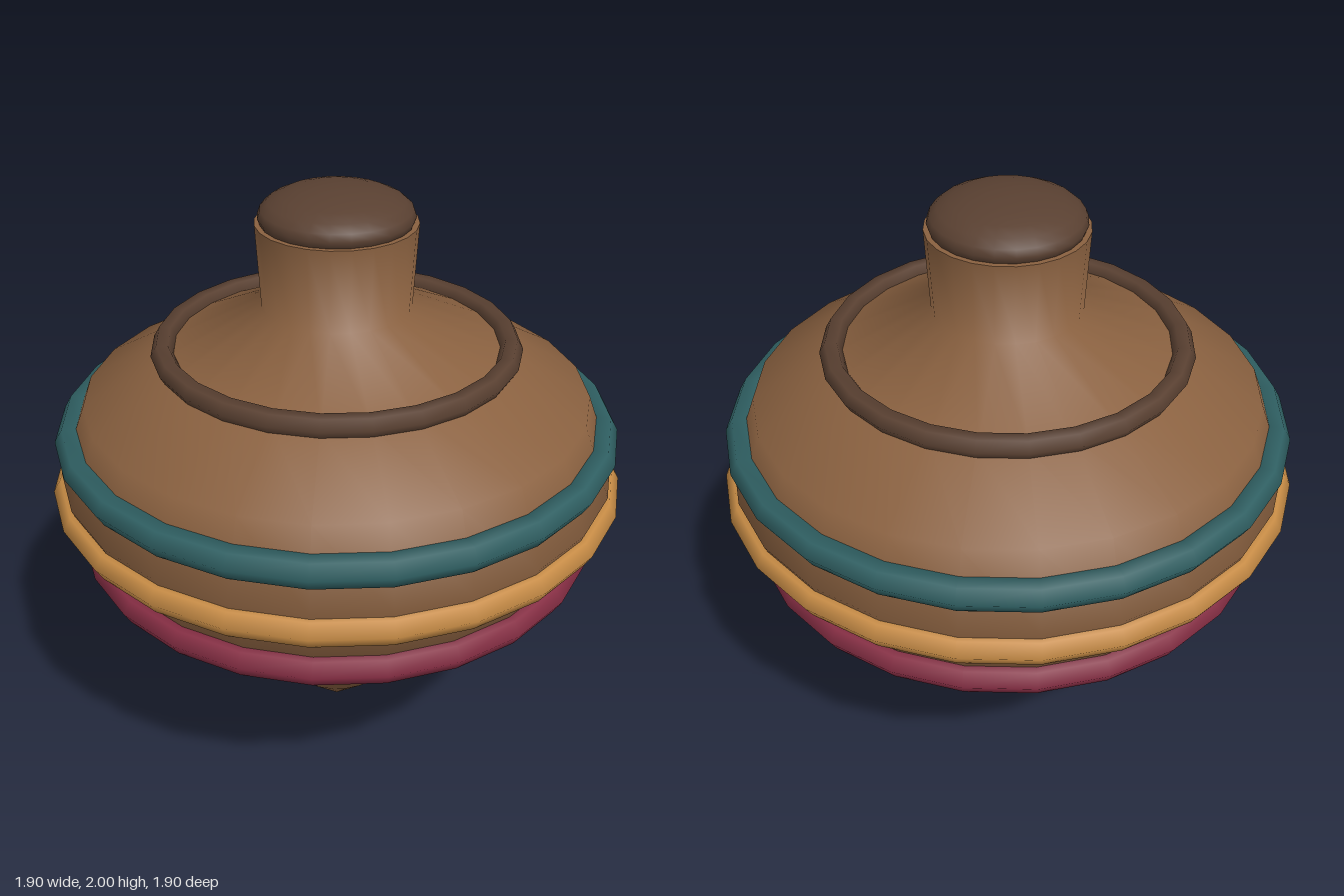
import * as THREE from 'three';

const SIDES = 24;

function material(name, color) {
  const m = new THREE.MeshStandardMaterial({ color });
  m.name = name;
  return m;
}

export function createModel() {
  const group = new THREE.Group();
  group.name = 'spinningTop';

  const wood = material('brown wood', 0x8a6140);
  const darkWood = material('dark wood', 0x594031);
  const teal = material('teal paint', 0x2f5f62);
  const gold = material('gold paint', 0xc68b45);
  const red = material('dark red paint', 0x852d43);

  const add = (name, geometry, mat, y = 0) => {
    const mesh = new THREE.Mesh(geometry, mat);
    mesh.name = name;
    mesh.position.y = y;
    group.add(mesh);
    return mesh;
  };

  const lathe = (points) =>
    new THREE.LatheGeometry(points.map(([r, y]) => new THREE.Vector2(r, y)), SIDES);

  // Turned body, from the tip up to the top of the stem
  add('body', lathe([
    [0, 0], [0.2, 0.19], [0.44, 0.46], [0.77, 0.73], [0.917, 1.08],
    [0.825, 1.32], [0.556, 1.47], [0.24, 1.62], [0.255, 1.89],
  ]), wood);
  add('stemTop', lathe([[0.255, 1.89], [0, 1.89]]), wood);

  // Low dome on the stem
  const cap = add('cap', new THREE.SphereGeometry(0.245, SIDES, 12), darkWood, 1.91);
  cap.scale.y = 0.09 / 0.245;

  // Six-sided rings around the body: name, radius, thickness, height, colour
  for (const [name, radius, tube, y, mat] of [
    ['shoulderRing', 0.56, 0.038, 1.48, darkWood],
    ['upperRing', 0.877, 0.05, 1.2, teal],
    ['middleRing', 0.9, 0.05, 1.015, gold],
    ['lowerRing', 0.82, 0.05, 0.807, red],
  ]) {
    const ring = new THREE.TorusGeometry(radius, tube, 6, SIDES).rotateX(Math.PI / 2);
    add(name, ring, mat, y);
  }

  return group;
}
